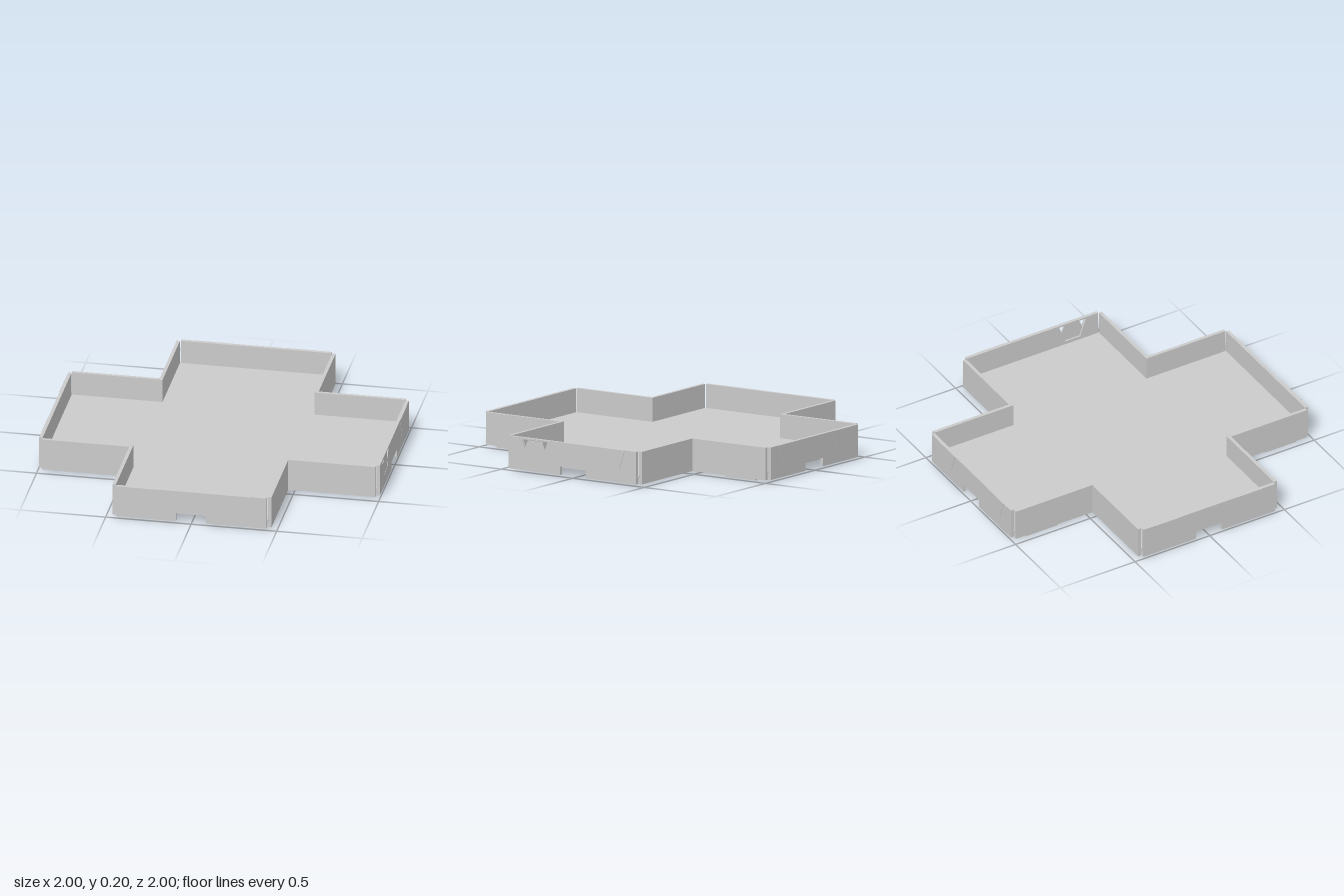
import * as THREE from 'three';

const BASE = 0.01, TOP = 0.2, HALF = 0.44, T = 0.02;

function mesh(name, geometry, material) {
  const m = new THREE.Mesh(geometry, material);
  m.name = name;
  return m;
}

function polygon(points) {
  return new THREE.Shape(points.map(([x, y]) => new THREE.Vector2(x, y)));
}

function extrude(shape, depth) {
  return new THREE.ExtrudeGeometry(shape, { depth, bevelEnabled: false });
}

// Horizontal slab whose upper face lies at the given height
function slab(points, top, depth) {
  return extrude(polygon(points), depth).rotateX(Math.PI / 2).translate(0, top, 0);
}

// Dovetail outline centred on cx
function dovetail(cx, bottom, top, y0, y1) {
  return [[cx - bottom, y0], [cx + bottom, y0], [cx + top, y1], [cx - top, y1]];
}

export function createModel() {
  const group = new THREE.Group();
  const grey = new THREE.MeshStandardMaterial({ color: 0xcccccc, flatShading: true });

  // Cross-shaped floor
  const a = 0.45, l = 0.98;
  group.add(mesh('floor', slab([
    [-a, -l], [a, -l], [a, -a], [l, -a], [l, a], [a, a],
    [a, l], [-a, l], [-a, a], [-l, a], [-l, -a], [-a, -a],
  ], 0.06, 0.01), grey));

  // Chamfered pad under the floor
  const px = 0.27, pz = 0.17, c = 0.05;
  group.add(mesh('undersidePad', slab([
    [-px + c, -pz], [px - c, -pz], [px, -pz + c], [px, pz - c],
    [px - c, pz], [-px + c, pz], [-px, pz - c], [-px, -pz + c],
  ], 0.05, 0.005), grey));

  // Four arms, each with two side walls and a notched end wall
  for (let i = 0; i < 4; i++) {
    const arm = new THREE.Group();
    arm.name = 'arm' + (i + 1);
    arm.rotation.y = i * Math.PI / 2;

    const endShape = polygon([
      [-HALF, BASE], [-0.09, BASE], [-0.09, 0.06], [0.085, 0.06],
      [0.085, BASE], [HALF, BASE], [HALF, TOP], [-HALF, TOP],
    ]);

    // One end has an open socket with a dovetail tab set in it
    if (i === 1) {
      endShape.holes.push(new THREE.Path(polygon(dovetail(-0.27, 0.05, 0.09, 0.08, 0.19)).getPoints()));
      const tab = extrude(polygon(dovetail(-0.27, 0.09, 0.05, 0.08, 0.185)), 0.008);
      arm.add(mesh('socketTab', tab.translate(0, 0, 0.986), grey));
    }
    arm.add(mesh('endWall', extrude(endShape, T).translate(0, 0, 0.976), grey));

    // Nearly flush dovetail inlays
    for (const s of [-1, 1]) {
      if (i === 1 && s < 0) continue;
      const inlay = extrude(polygon(dovetail(s * 0.27, 0.05, 0.09, 0.08, TOP)), 0.003);
      arm.add(mesh('inlay', inlay.translate(0, 0, 0.995), grey));
    }

    for (const s of [-1, 1]) {
      const side = new THREE.BoxGeometry(T, TOP - BASE, 0.53);
      side.translate(s * 0.455, (TOP + BASE) / 2, 0.71);
      arm.add(mesh('sideWall', side, grey));

      // Low feet under the side walls of the front and back arms
      if (i % 2 === 0) {
        const foot = new THREE.BoxGeometry(0.012, 0.012, 0.21);
        arm.add(mesh('foot', foot.translate(s * 0.455, 0.006, 0.8), grey));
      }
    }
    group.add(arm);
  }
  return group;
}
